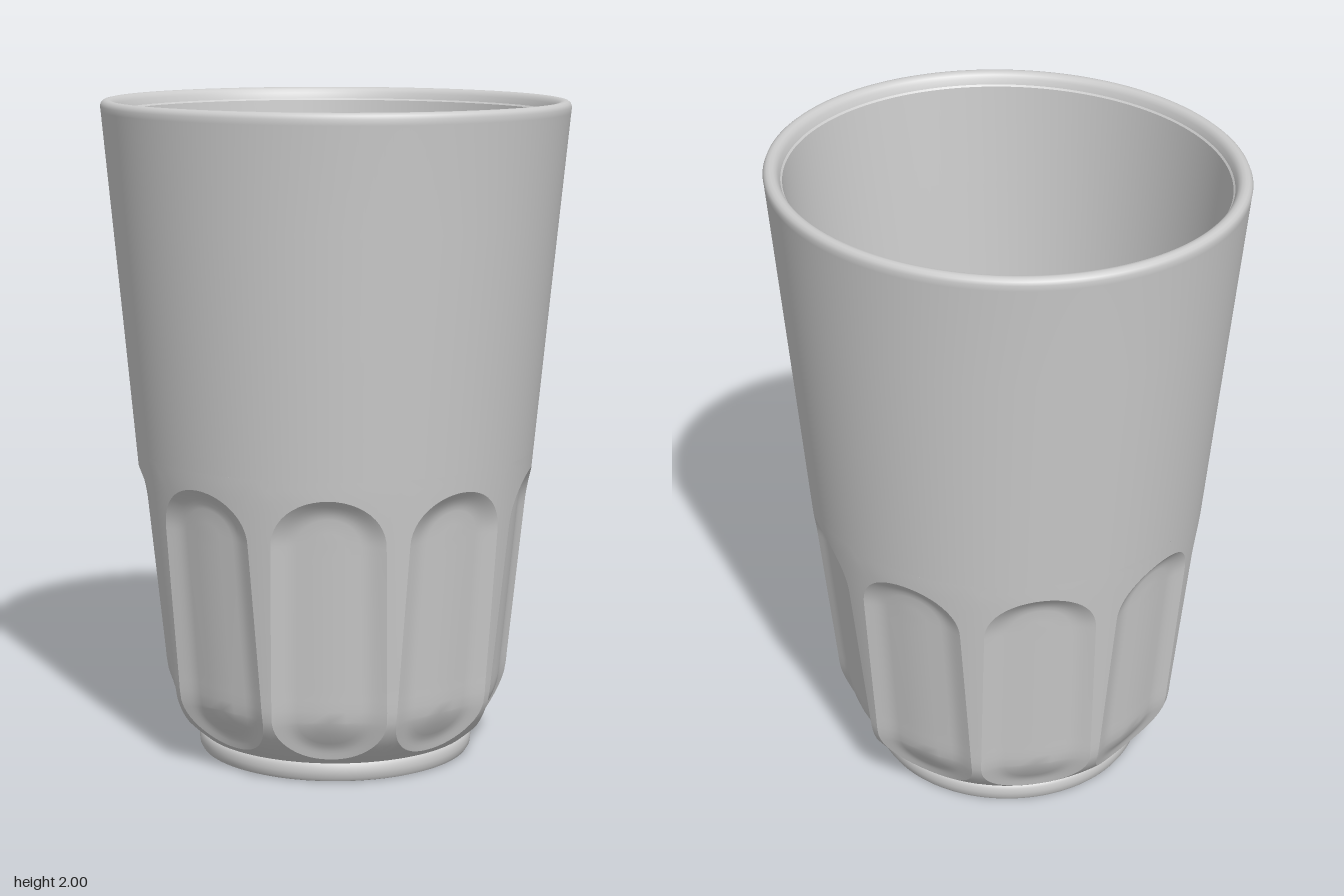
import * as THREE from 'three';
import { toCreasedNormals } from 'three/addons/utils/BufferGeometryUtils.js';

const PANELS = 9;
const HALF = Math.PI / PANELS;        // half the angle of one panel sector
const LOW = 0.06, HIGH = 0.95;        // height range of the fluted band
const SPINE_LOW = 0.21, SPINE_HIGH = 0.75;
const DEPTH = 0.03;

// Outer radius of the plain cup at height y
function radius(y) {
  if (y > 0.9) return 0.603 + 0.088 * (y - 0.9) / 1.1;
  if (y > 0.25) return 0.54 + 0.063 * (y - 0.25) / 0.65;
  const k = (0.25 - y) / 0.19;
  return 0.42 + 0.12 * (1 - k * k);
}

// The round cup widens into a slight oval towards the rim
const oval = (y) => 0.031 * Math.max(0, (y - 0.9) / 1.1);

// Crease at true size (the addon welds coarsely, so enlarge first)
function crease(geometry, angle) {
  const g = toCreasedNormals(geometry.scale(100, 100, 100), angle);
  return g.scale(0.01, 0.01, 0.01);
}

function ovalLathe(points) {
  const g = new THREE.LatheGeometry(points.map(([r, y]) => new THREE.Vector2(r, y)), 180);
  const p = g.attributes.position;
  for (let i = 0; i < p.count; i++) {
    const e = oval(p.getY(i));
    p.setX(i, p.getX(i) * (1 + e));
    p.setZ(i, p.getZ(i) * (1 - e));
  }
  return crease(g, 0.6);
}

// Loop of rays around one panel: spine point, panel outline, sector border
function panelRays() {
  const rays = [];
  const CAP = 24, SIDE = 16;
  const halfWidth = (y) => THREE.MathUtils.lerp(0.322, 0.288, (y - SPINE_LOW) / (SPINE_HIGH - SPINE_LOW));
  const side = (sign, y) => rays.push({ spine: [0, y], outline: [sign * halfWidth(y), y], border: [sign * HALF, y] });
  const cap = (y, a, rise, room, power) => {
    const c = Math.cos(a), s = Math.sin(a), m = Math.max(Math.abs(c), Math.abs(s));
    const round = (v) => Math.sign(v) * Math.pow(Math.abs(v), power);
    rays.push({
      spine: [0, y],
      outline: [halfWidth(y) * round(c), y + rise * round(s)],
      border: [HALF * c / m, y + room * s / m],
    });
  };
  const step = (SPINE_HIGH - SPINE_LOW) / SIDE;
  for (let i = 0; i < SIDE; i++) side(1, SPINE_LOW + i * step);
  for (let i = 0; i < CAP; i++) cap(SPINE_HIGH, Math.PI * i / CAP, 0.145, HIGH - SPINE_HIGH, 1);
  for (let i = 0; i < SIDE; i++) side(-1, SPINE_HIGH - i * step);
  for (let i = 0; i < CAP; i++) cap(SPINE_LOW, Math.PI * (1 + i / CAP), 0.13, SPINE_LOW - LOW, 0.9);
  return rays;
}

function flutedBand() {
  const rays = panelRays();
  // 0 = spine, 1 = panel outline, 2 = sector border
  const rings = [0, 0.3, 0.58, 0.68, 0.78, 0.86, 0.93, 1, 1.33, 1.67, 2];
  const positions = [], index = [];
  for (let k = 0; k < PANELS; k++) {
    const centre = HALF * (1 + 2 * k), base = positions.length / 3;
    for (const { spine, outline, border } of rays) {
      for (const t of rings) {
        const [from, to, f] = t <= 1 ? [spine, outline, t] : [outline, border, t - 1];
        const a = centre + from[0] + (to[0] - from[0]) * f;
        const y = from[1] + (to[1] - from[1]) * f;
        const cut = t < 1 ? DEPTH * Math.sin(Math.min(1, (1 - t) / 0.42) * Math.PI / 2) : 0;
        const r = radius(y) - cut, e = oval(y);
        positions.push(r * Math.sin(a) * (1 + e), y, r * Math.cos(a) * (1 - e));
      }
    }
    const n = rings.length;
    for (let u = 0; u < rays.length; u++) {
      const p = base + u * n, q = base + ((u + 1) % rays.length) * n;
      for (let j = 0; j < n - 1; j++) {
        index.push(p + j, p + j + 1, q + j + 1);
        if (j > 0 || rays[u].spine[1] !== rays[(u + 1) % rays.length].spine[1]) {
          index.push(p + j, q + j + 1, q + j);
        }
      }
    }
  }
  const g = new THREE.BufferGeometry();
  g.setAttribute('position', new THREE.Float32BufferAttribute(positions, 3));
  g.setIndex(index);
  return crease(g, 0.38);
}

export function createModel() {
  const group = new THREE.Group();
  group.name = 'tumbler';
  const material = new THREE.MeshStandardMaterial({ color: 0xcccccc });
  const add = (name, geometry) => {
    const mesh = new THREE.Mesh(geometry, material);
    mesh.name = name;
    group.add(mesh);
  };

  // Plain upper wall with its rounded rim
  add('upperWall', ovalLathe([
    [radius(HIGH), HIGH], [radius(1.3), 1.3], [radius(1.65), 1.65], [radius(1.965), 1.965],
    [0.69, 1.982], [0.686, 1.992], [0.679, 1.998], [0.67, 2],
    [0.66, 1.998], [0.652, 1.992], [0.646, 1.982], [0.641, 1.965],
  ]));

  // Inside wall, curved into a flat floor
  add('innerWall', ovalLathe([
    [0.641, 1.965], [0.636, 1.96], [0.61, 1.65], [0.582, 1.3], [0.55, 0.9], [0.522, 0.6],
    [0.5, 0.38], [0.49, 0.29], [0.475, 0.22], [0.452, 0.16], [0.425, 0.12], [0.39, 0.1],
  ]));
  add('innerFloor', ovalLathe([[0.39, 0.1], [0, 0.1]]));

  // Lower wall with scooped panels
  add('flutedBand', flutedBand());

  // Low round foot
  add('foot', ovalLathe([
    [0, 0], [0.405, 0], [0.415, 0.004], [0.421, 0.014], [0.423, 0.03],
    [0.422, 0.048], [0.416, 0.058], [0.405, 0.064],
  ]));

  return group;
}
